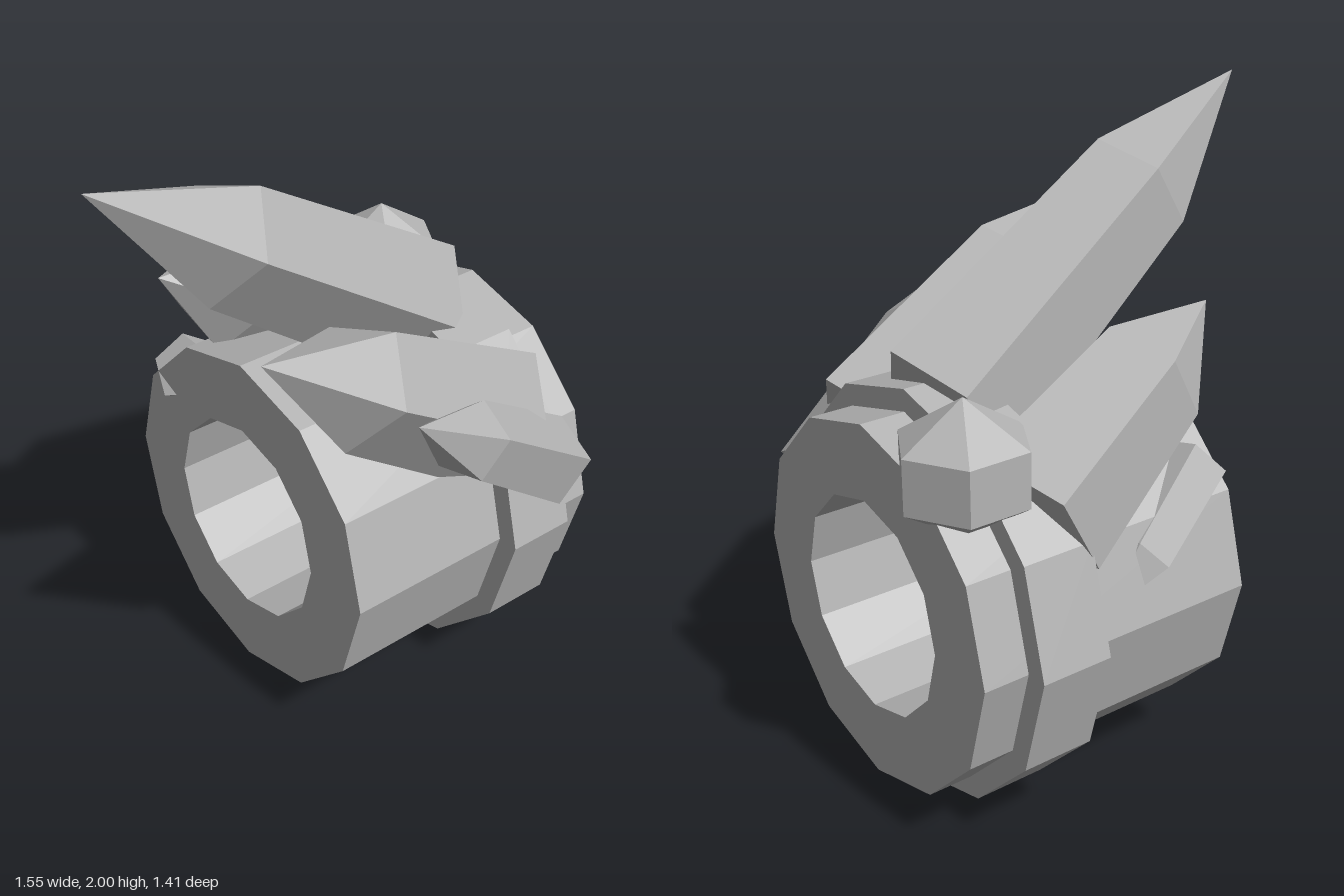
import * as THREE from 'three';

const stone = new THREE.MeshStandardMaterial({ color: 0xb4b4b4, flatShading: true });
stone.name = 'grey stone';

// Faceted solid of revolution: [radius, height] points, number of sides, start angle in degrees
function faceted(name, points, sides, startDeg = 0) {
  const profile = points.map(([r, h]) => new THREE.Vector2(r, h));
  const lathe = new THREE.LatheGeometry(profile, sides, THREE.MathUtils.degToRad(startDeg));
  const geometry = lathe.toNonIndexed();
  geometry.computeVertexNormals();
  const mesh = new THREE.Mesh(geometry, stone);
  mesh.name = name;
  return mesh;
}

// Five-sided crystal that widens towards its base and ends in a point
function crystal(name, base, tip, baseRadius, shoulderRadius, startDeg) {
  const from = new THREE.Vector3(...base);
  const axis = new THREE.Vector3(...tip).sub(from);
  const length = axis.length();
  axis.normalize();
  const side = new THREE.Vector3(0, 0, 1).addScaledVector(axis, -axis.z).normalize();
  const up = axis.clone().cross(side);
  const mesh = faceted(name, [
    [0, 0], [baseRadius, 0], [shoulderRadius, length * 0.637], [0, length],
  ], 5, startDeg);
  mesh.quaternion.setFromRotationMatrix(new THREE.Matrix4().makeBasis(up, axis, side));
  mesh.position.copy(from);
  return mesh;
}

// Twelve-sided hollow cuff along x
function cuffRing(name, inner, outer, x0, x1) {
  const ring = faceted(name, [
    [inner, x0], [outer, x0], [outer, x1], [inner, x1], [inner, x0],
  ], 12);
  ring.rotation.z = -Math.PI / 2;
  ring.position.set(0, 0.645, -0.07);
  return ring;
}

export function createModel() {
  const model = new THREE.Group();
  model.name = 'crystalCuff';

  // Cuff and its raised band
  model.add(cuffRing('cuff', 0.34, 0.575, -0.235, 0.705));
  model.add(cuffRing('raisedBand', 0.5, 0.644, 0.33, 0.56));

  // Crystals sweeping back from the band
  model.add(crystal('largeCrystal', [0.427, 1.194, -0.068], [-0.78, 2, 0.055], 0.238, 0.189, 4));
  model.add(crystal('frontCrystal', [0.427, 0.985, 0.317], [-0.535, 1.6, 0.45], 0.238, 0.189, 4));
  model.add(crystal('backCrystal', [0.41, 1.0, -0.455], [-0.335, 1.435, -0.335], 0.238, 0.189, 4));
  model.add(crystal('smallFrontCrystal', [0.55, 0.83, 0.47], [-0.18, 1.375, 0.66], 0.145, 0.12, 30));

  // Small shard sunk point-first into the back of the cuff
  model.add(crystal('sunkenShard', [-0.19, 1.0, -0.46], [0.24, 0.69, -0.585], 0.11, 0.1, 23));

  // Six-sided gem on the rim
  const gem = faceted('gem', [[0, -0.205], [0.195, -0.085], [0.195, 0.08], [0, 0.205]], 6, 30);
  gem.position.set(0.58, 1.17, -0.39);
  model.add(gem);

  return model;
}
